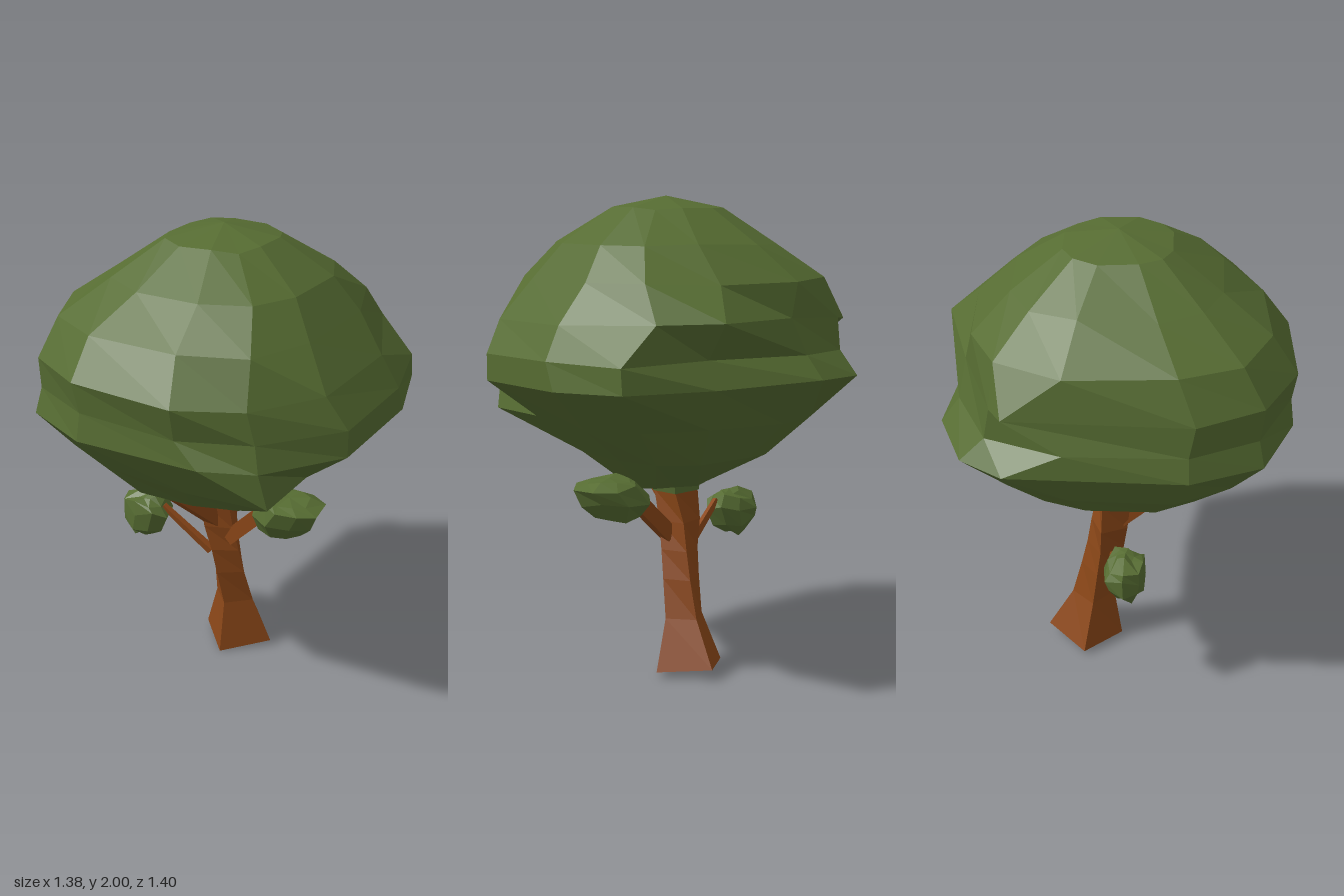
import * as THREE from 'three';

const leafMat = new THREE.MeshStandardMaterial({ color: 0x566c32, flatShading: true });
const barkMat = new THREE.MeshStandardMaterial({ color: 0x8b4718, flatShading: true, side: THREE.DoubleSide });

// Unit outlines, walked from +x towards +z
const ROUNDED = [[1, .36], [.8, .8], [.34, 1], [-.36, 1], [-.8, .8], [-1, .38],
  [-1, -.36], [-.8, -.82], [-.38, -1], [.32, -1], [.8, -.8], [1, -.36]];
const OCTAGON = [[1, .3], [.6, .85], [-.1, 1], [-.75, .7], [-1, -.1], [-.6, -.85], [.2, -1], [.85, -.6]];
const DIAMOND = [[1, 0], [0, 1], [-1, 0], [0, -1]];

function makeRandom(seed) {
  return () => (seed = (seed * 16807) % 2147483647) / 2147483647;
}

// Each row is [y, minX, maxX, minZ, maxZ, twist]; the outline is stretched to fill it
function makeRings(outline, rows, jitter = 0, seed = 7) {
  const rnd = makeRandom(seed);
  return rows.map(([y, x0, x1, z0, z1, twist = 0]) => outline.map(([u, v]) => {
    const k = 1 - jitter * rnd(), c = Math.cos(twist), s = Math.sin(twist);
    return new THREE.Vector3(
      (x0 + x1) / 2 + (u * c - v * s) * k * (x1 - x0) / 2,
      y + (rnd() - .5) * jitter * .35,
      (z0 + z1) / 2 + (u * s + v * c) * k * (z1 - z0) / 2);
  }));
}

// Skins the rings; the top, and the bottom unless open, are closed with fans
function loft(rings, topRise = 0, openBottom = false) {
  const pos = [], n = rings[0].length;
  const tri = (...pts) => pts.forEach(p => pos.push(p.x, p.y, p.z));
  const centre = ring => ring.reduce((c, p) => c.add(p), new THREE.Vector3()).divideScalar(n);
  const first = rings[0], last = rings[rings.length - 1];
  const low = centre(first), high = centre(last);
  high.y += topRise;
  for (let j = 0; j < n; j++) {
    const k = (j + 1) % n;
    for (let i = 0; i < rings.length - 1; i++) {
      const a = rings[i][j], b = rings[i][k], c = rings[i + 1][k], d = rings[i + 1][j];
      tri(a, d, c);
      tri(a, c, b);
    }
    if (!openBottom) tri(low, first[j], first[k]);
    tri(high, last[k], last[j]);
  }
  const geo = new THREE.BufferGeometry();
  geo.setAttribute('position', new THREE.Float32BufferAttribute(pos, 3));
  geo.computeVertexNormals();
  return geo;
}

// Square tapered limb between two points
function limb(from, to, r0, r1) {
  const a = new THREE.Vector3(...from), b = new THREE.Vector3(...to);
  const dir = b.clone().sub(a);
  const geo = new THREE.CylinderGeometry(r1, r0, dir.length(), 4).rotateY(Math.PI / 4);
  geo.applyQuaternion(new THREE.Quaternion().setFromUnitVectors(new THREE.Vector3(0, 1, 0), dir.normalize()));
  const m = a.add(b).multiplyScalar(.5);
  return geo.translate(m.x, m.y, m.z);
}

export function createModel() {
  const tree = new THREE.Group();
  tree.name = 'tree';
  const add = (name, geo, mat) => {
    const mesh = new THREE.Mesh(geo, mat);
    mesh.name = name;
    tree.add(mesh);
  };

  // Leaning hollow trunk with a flared, slanted foot
  const trunk = makeRings(DIAMOND, [
    [.027, -.2, .135, -.31, .02],
    [.24, -.125, .063, -.2, -.015],
    [.4, -.125, .045, -.16, .01, .15],
    [.52, -.13, .035, -.135, .03, .25],
    [.64, -.15, .03, -.12, .05, .4],
    [.77, -.15, .04, -.1, .07, .6]]);
  trunk[0].forEach(p => { p.y -= .14 * (p.z + .145); });
  add('trunk', loft(trunk, 0, true), barkMat);

  // Green collar where the trunk meets the crown
  add('crownCollar', loft(makeRings(DIAMOND, [
    [.765, -.155, .045, -.105, .075, .6],
    [.86, -.17, .07, -.12, .1, .6]])), leafMat);

  // Three limbs
  add('frontBranch', limb([-.07, .66, -.01], [-.06, .93, .32], .045, .04), barkMat);
  add('leftBranch', limb([-.01, .58, -.03], [.16, .75, -.03], .045, .045), barkMat);
  add('rightBranch', limb([-.1, .49, -.02], [-.31, .68, .04], .022, .016), barkMat);

  // Faceted crown
  const crown = makeRings(ROUNDED, [
    [.805, -.18, .15, -.14, .13],
    [.94, -.4, .31, -.37, .4],
    [1.1, -.57, .51, -.53, .57],
    [1.27, -.7, .69, -.7, .71],
    [1.38, -.69, .7, -.62, .69],
    [1.51, -.68, .61, -.59, .71],
    [1.67, -.61, .51, -.57, .6],
    [1.81, -.43, .4, -.41, .42],
    [1.95, -.23, .2, -.21, .22]], .035, 11);
  // Individually pulled corners: [ring, corner, x, y, z]
  [
    // Front left: bulging lower corner, rim and the recess above it
    [2, 1, .5, 1.1, .53], [3, 0, .69, 1.26, .26], [3, 1, .47, 1.25, .55], [3, 2, .27, 1.26, .66],
    [4, 0, .69, 1.37, .26], [4, 1, .45, 1.36, .54], [4, 2, .17, 1.36, .66], [5, 1, .42, 1.49, .55], [5, 2, .18, 1.5, .7],
    // Right rim
    [3, 5, -.695, 1.28, .28], [3, 6, -.67, 1.28, -.42], [5, 6, -.62, 1.5, -.42],
    // Back rim
    [3, 7, -.55, 1.28, -.59], [3, 8, -.28, 1.29, -.69], [3, 9, .2, 1.28, -.64],
    [3, 10, .57, 1.28, -.56], [4, 10, .57, 1.38, -.55],
    // Back ledge jutting out above the groove
    [4, 9, .2, 1.39, -.59], [5, 8, -.2, 1.53, -.59], [5, 9, .2, 1.535, -.695], [5, 10, .42, 1.53, -.56]
  ].forEach(([i, j, x, y, z]) => crown[i][j].set(x, y, z));
  add('crown', loft(crown, .05), leafMat);

  // Small leaf clumps at the limb tips
  add('leftLeafClump', loft(makeRings(OCTAGON, [
    [.69, .13, .35, -.11, .04],
    [.76, .1, .41, -.17, .1],
    [.825, .17, .44, -.16, .11],
    [.85, .19, .38, -.11, .06]], .1, 5), .008), leafMat);
  add('rightLeafClump', loft(makeRings(OCTAGON, [
    [.53, -.46, -.37, 0, .08],
    [.58, -.52, -.31, -.04, .12],
    [.65, -.525, -.265, -.06, .135],
    [.69, -.51, -.3, -.04, .12],
    [.72, -.43, -.34, 0, .08]], .12, 3), .01), leafMat);

  return tree;
}
